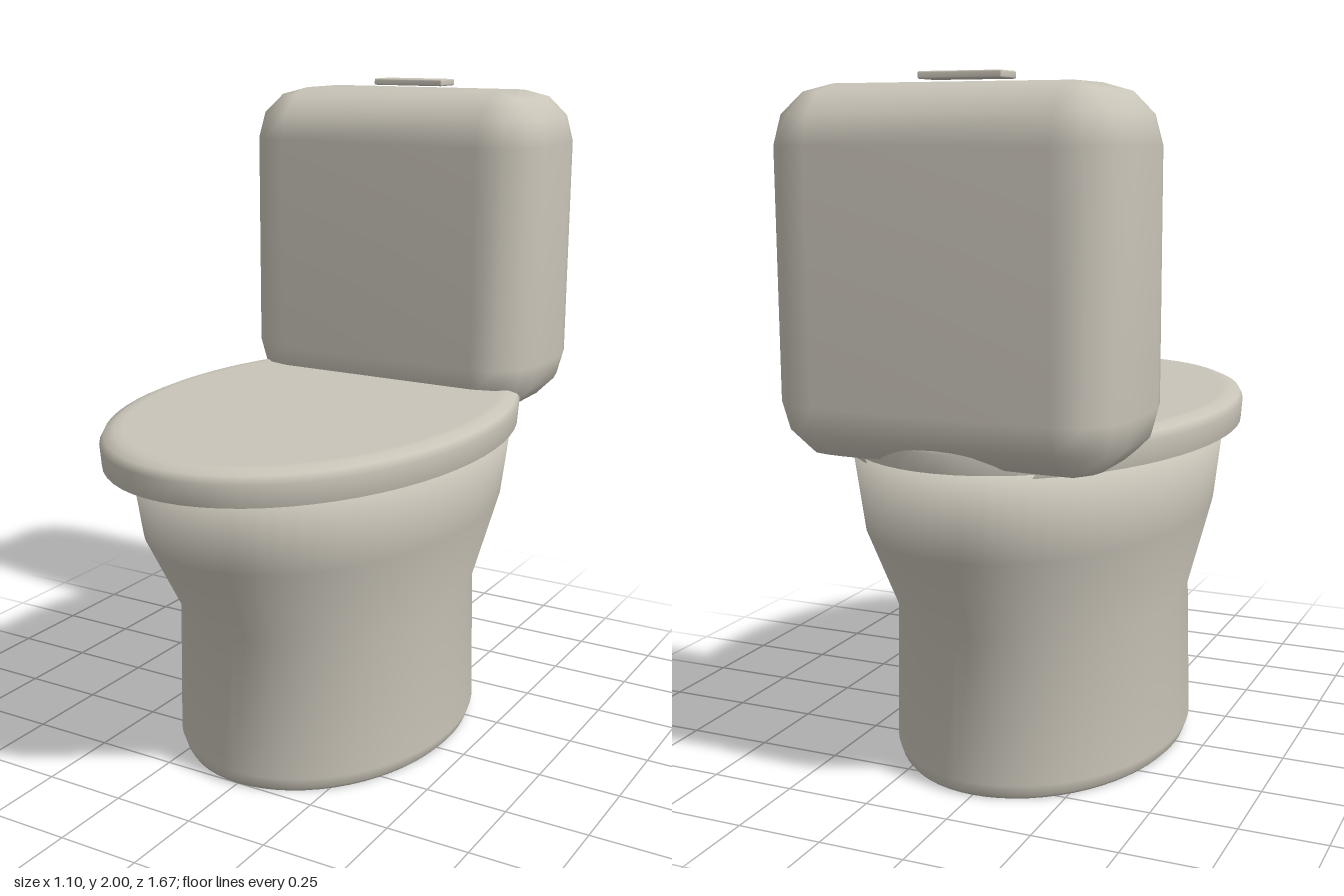
import * as THREE from 'three';
import { mergeVertices } from 'three/addons/utils/BufferGeometryUtils.js';

// Skins a stack of closed rings (listed bottom to top, turning from +z to +x) and caps both ends.
function loft(rings) {
  const n = rings[0].length;
  const last = (rings.length - 1) * n;
  const positions = rings.flat().flatMap((p) => p.toArray());
  const index = [];
  for (let r = 0; r < rings.length - 1; r++) {
    for (let i = 0; i < n; i++) {
      const a = r * n + i, b = r * n + (i + 1) % n;
      index.push(a, b, b + n, a, b + n, a + n);
    }
  }
  const bottom = positions.length / 3, top = bottom + 1;
  for (const ring of [rings[0], rings[rings.length - 1]]) {
    const c = new THREE.Vector3();
    ring.forEach((p) => c.addScaledVector(p, 1 / n));
    positions.push(c.x, c.y, c.z);
  }
  for (let i = 0; i < n; i++) {
    const j = (i + 1) % n;
    index.push(bottom, j, i, top, last + i, last + j);
  }
  const geometry = new THREE.BufferGeometry();
  geometry.setAttribute('position', new THREE.Float32BufferAttribute(positions, 3));
  geometry.setIndex(index);
  const merged = mergeVertices(geometry, 1e-5);
  merged.computeVertexNormals();
  return merged;
}

// Elliptical ring given its height, half width, back z and front z.
function ellipse([y, rx, back, front], n = 64) {
  return Array.from({ length: n }, (_, i) => {
    const a = (i / n) * Math.PI * 2;
    return new THREE.Vector3(
      Math.sin(a) * rx, y, (back + front) / 2 + Math.cos(a) * (front - back) / 2);
  });
}

// Box with every edge rounded in a few coarse steps.
function roundedBox(w, h, d, radius, steps) {
  const rings = [];
  for (const sy of [-1, 1]) {
    for (let k = 0; k <= steps; k++) {
      const lift = (k / steps + (sy < 0 ? -1 : 0)) * Math.PI / 2;
      const r = radius * Math.cos(lift);
      const y = sy * (h / 2 - radius) + radius * Math.sin(lift);
      const ring = [];
      [[1, 1], [1, -1], [-1, -1], [-1, 1]].forEach(([sx, sz], corner) => {
        for (let i = 0; i <= steps; i++) {
          const a = (corner + i / steps) * Math.PI / 2;
          ring.push(new THREE.Vector3(
            sx * (w / 2 - radius) + Math.sin(a) * r, y,
            sz * (d / 2 - radius) + Math.cos(a) * r));
        }
      });
      rings.push(ring);
    }
  }
  return loft(rings);
}

export function createModel() {
  const model = new THREE.Group();
  const ceramic = new THREE.MeshStandardMaterial({ color: 0xc9c4b8 });
  ceramic.name = 'ceramic';

  const add = (name, geometry, y = 0, z = 0) => {
    const mesh = new THREE.Mesh(geometry, ceramic);
    mesh.name = name;
    mesh.position.set(0, y, z);
    model.add(mesh);
  };

  // Pedestal flaring out into the bowl
  add('bowl', loft([
    [0, 0.41, -0.585, 0.5],
    [0.01, 0.42, -0.592, 0.505],
    [0.045, 0.433, -0.602, 0.516],
    [0.47, 0.422, -0.602, 0.514],
    [0.73, 0.485, -0.762, 0.678],
    [0.978, 0.513, -0.808, 0.724],
  ].map((s) => ellipse(s))));

  // Closed oval lid with a softened rim
  add('lid', loft([
    [0.965, 0.535, -0.79, 0.815],
    [0.967, 0.547, -0.8, 0.83],
    [1.03, 0.552, -0.805, 0.835],
    [1.052, 0.542, -0.795, 0.822],
    [1.064, 0.515, -0.77, 0.792],
    [1.065, 0.49, -0.745, 0.765],
  ].map((s) => ellipse(s))));

  // Water tank and its flush button
  add('tank', roundedBox(1, 1, 0.52, 0.16, 3), 1.47, -0.575);
  add('flushButton', roundedBox(0.24, 0.02, 0.096, 0.004, 2), 1.99, -0.575);

  return model;
}
